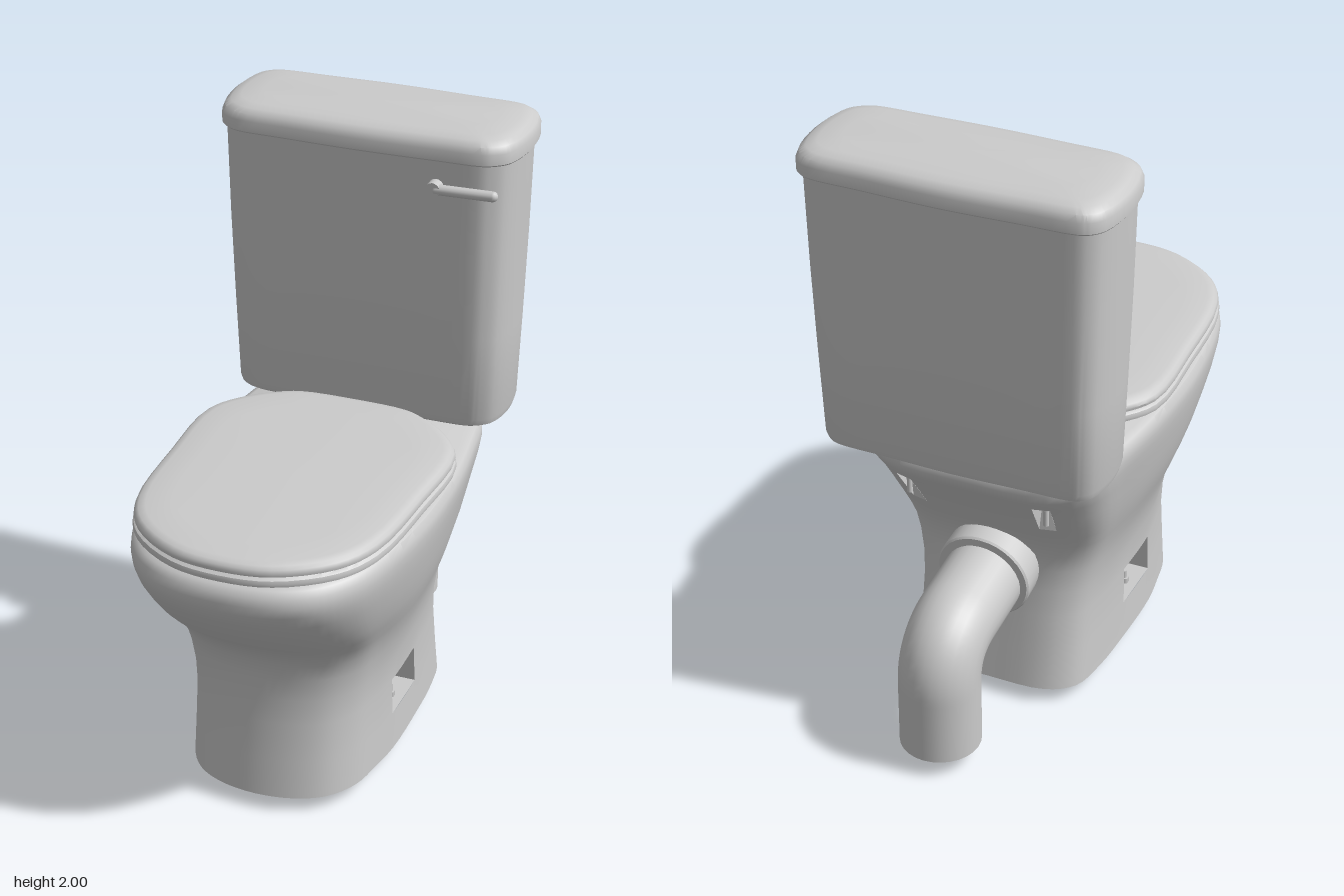
import * as THREE from 'three';
import { toCreasedNormals } from 'three/addons/utils/BufferGeometryUtils.js';

const SUB = 4; // samples between two outline points
const grey = new THREE.MeshStandardMaterial({ color: 0xcccccc });
const greyDouble = new THREE.MeshStandardMaterial({ color: 0xcccccc, side: THREE.DoubleSide });

// Half outlines from front centre to back centre: [share of half width, share of depth]
const RIM = [[0, 1], [.38, .985], [.63, .945], [.8, .88], [.9, .8], [1, .59], [1, .4], [.93, .21], [.84, .08], [.6, .015], [0, 0]];
const BASE = [[0, 1], [.4, .98], [.68, .93], [.87, .84], [.95, .72], [1, .6], [1, .38], [.97, .2], [.88, .07], [.62, .01], [0, 0]];
const SEAT = [[0, 1], [.38, .978], [.76, .88], [.93, .755], [1, .47], [1, .2], [.81, .095], [.62, .04], [.45, .01], [0, 0]];
const TANK = [[0, 1], [.5, .985], [.8, .97], [.87, .935], [.95, .84], [1, .5], [.96, .16], [.9, .07], [.83, .035], [.5, .02], [0, 0]];

// Closed horizontal ring from a mirrored half outline
function section(half, y, width, back, front) {
  const right = half.map(([u, v]) => new THREE.Vector3(u * width, y, back + (front - back) * v));
  const left = right.slice(1, -1).reverse().map(p => new THREE.Vector3(-p.x, p.y, p.z));
  const curve = new THREE.CatmullRomCurve3([...right, ...left], true, 'centripetal');
  const n = (right.length + left.length) * SUB;
  return Array.from({ length: n }, (_, k) => curve.getPoint(k / n));
}

function fromPoints(points, crease = 0.6) {
  const g = new THREE.BufferGeometry().setFromPoints(points);
  return toCreasedNormals(g, crease);
}

// Skin over stacked rings with closed ends; skip(row, column) leaves openings
function loft(rings, skip = () => false) {
  const out = [], n = rings[0].length;
  const middle = ring => ring[0].clone().add(ring[n / 2]).multiplyScalar(0.5);
  const low = rings[0], high = rings[rings.length - 1];
  const lowMid = middle(low), highMid = middle(high);
  for (let j = 0; j < n; j++) {
    const k = (j + 1) % n;
    for (let i = 0; i < rings.length - 1; i++) {
      if (skip(i, j)) continue;
      const [a, b, c, d] = [rings[i][j], rings[i][k], rings[i + 1][k], rings[i + 1][j]];
      out.push(a, b, c, a, c, d);
    }
    out.push(lowMid, low[k], low[j], highMid, high[j], high[k]);
  }
  return fromPoints(out);
}

// Wedge recess behind an opening a-b (lower edge) and d-c (upper edge)
function wedge(a, b, c, d, inward, flatBelow) {
  const quad = (p, q, r, s) => [p, q, r, p, r, s];
  const [e, f, g, h] = flatBelow ? [a, b, c, d] : [d, c, b, a];
  const ei = e.clone().add(inward), fi = f.clone().add(inward);
  return fromPoints([...quad(e, f, fi, ei), ...quad(ei, fi, g, h), e, ei, h, f, g, fi], 0.3);
}

function add(parent, name, geometry, material = grey) {
  const mesh = new THREE.Mesh(geometry, material);
  mesh.name = name;
  parent.add(mesh);
  return mesh;
}

function rod(parent, name, radius, height, x, y, z, sides = 12) {
  const mesh = add(parent, name, new THREE.CylinderGeometry(radius, radius, height, sides));
  mesh.position.set(x, y, z);
  return mesh;
}

function buildBowl(group) {
  // Rows: height, half width, back, front
  const rows = [
    [.05, .32, -.39, .61], [.18, .315, -.37, .597], [.31, .312, -.35, .582], [.4, .318, -.338, .578],
    [.48, .335, -.332, .58], [.54, .352, -.338, .592], [.6, .375, -.36, .63], [.65, .392, -.388, .685],
    [.7, .407, -.42, .737], [.765, .422, -.463, .795], [.83, .435, -.508, .845], [.88, .443, -.55, .873],
    [.915, .446, -.567, .88], [.945, .444, -.565, .873], [.965, .432, -.55, .858], [.975, .41, -.53, .835],
  ];
  const rings = rows.map(([y, w, back, front]) => {
    const t = THREE.MathUtils.smoothstep(y, .35, .9);
    const half = BASE.map(([u, v], i) => [u + (RIM[i][0] - u) * t, v + (RIM[i][1] - v) * t]);
    return section(half, y, w, back, front);
  });
  const n = rings[0].length;
  // Openings: rows and columns, listed for one side and mirrored
  const openings = [
    { name: 'floorBoltPocket', lo: 1, hi: 2, c0: 5 * SUB, c1: 6 * SUB, in: [-.09, 0], below: true },
    { name: 'tankBoltPocket', lo: 8, hi: 10, c0: 9 * SUB, c1: 9 * SUB + 1, in: [0, .09], below: false },
  ];
  const skip = (i, j) => openings.some(o => i >= o.lo && i < o.hi &&
    ((j >= o.c0 && j < o.c1) || (j >= n - o.c1 && j < n - o.c0)));
  add(group, 'bowl', loft(rings, skip));
  for (const o of openings) for (const side of [1, -1]) {
    const [j, k] = side > 0 ? [o.c0, o.c1] : [n - o.c1, n - o.c0];
    const inward = new THREE.Vector3(o.in[0] * side, 0, o.in[1]);
    add(group, o.name, wedge(rings[o.lo][j], rings[o.lo][k], rings[o.hi][k], rings[o.hi][j], inward, o.below), greyDouble);
  }
  // Bolts and nuts in the pockets
  for (const side of [1, -1]) {
    rod(group, 'floorBolt', .009, .225, side * .27, .1125, .11);
    rod(group, 'floorNut', .017, .018, side * .27, .189, .11, 6);
    const x = (rings[10][9 * SUB].x + rings[10][9 * SUB + 1].x) / 2;
    rod(group, 'tankBolt', .009, .08, side * x, .79, -.455);
    rod(group, 'tankNut', .018, .018, side * x, .82, -.455, 6);
  }
}

// Slab with softened edges: rows of height and inset
function slab(half, width, back, front, rows) {
  return loft(rows.map(([y, d]) => section(half, y, width - d, back + d, front - d)));
}

function buildTank(group) {
  const rows = [[.978, .445, -.625, -.318], [.988, .46, -.64, -.304], [1.01, .466, -.647, -.298],
    [1.3, .476, -.66, -.285], [1.6, .485, -.67, -.274], [1.925, .492, -.677, -.267]];
  add(group, 'tank', loft(rows.map(r => section(TANK, ...r))));
  add(group, 'tankLid', slab(TANK, .508, -.69, -.26,
    [[1.91, .004], [1.915, 0], [1.95, 0], [1.972, .008], [1.986, .026], [1.994, .055], [2, .12]]));

  // Flush lever on the front face
  const lever = new THREE.Group();
  lever.name = 'flushLever';
  rod(lever, 'leverPivot', .025, .04, .26, 1.825, -.258, 16).rotation.x = Math.PI / 2;
  const arm = add(lever, 'leverArm', new THREE.CapsuleGeometry(.017, .18, 4, 12));
  arm.position.set(.36, 1.825, -.256);
  arm.rotation.set(0, .05, Math.PI / 2);
  group.add(lever);
}

function buildPipe(group) {
  // Elbow running back from the bowl and down to the floor
  const V = (y, z) => new THREE.Vector3(0, y, z);
  const path = new THREE.CurvePath();
  path.add(new THREE.LineCurve3(V(.47, -.36), V(.438, -.6)));
  path.add(new THREE.CubicBezierCurve3(V(.438, -.6), V(.427, -.685), V(.38, -.745), V(.28, -.745)));
  path.add(new THREE.LineCurve3(V(.28, -.745), V(.06, -.745)));
  add(group, 'wastePipe', new THREE.TubeGeometry(path, 40, .13, 28), greyDouble);

  // Collar joining the pipe to the bowl
  const profile = [[0, -.07], [.155, -.07], [.157, .04], [.152, .047], [.125, .047]];
  const collar = add(group, 'pipeCollar', toCreasedNormals(
    new THREE.LatheGeometry(profile.map(p => new THREE.Vector2(...p)), 32), .6), greyDouble);
  collar.position.set(0, .474, -.376);
  collar.rotation.x = -Math.PI / 2 - .13;
}

export function createModel() {
  const model = new THREE.Group();
  model.name = 'toilet';
  buildBowl(model);
  add(model, 'seat', slab(SEAT, .428, -.27, .866, [[.974, .012], [.98, .002], [.99, 0], [1.0, .003], [1.008, .014]]));
  add(model, 'seatLid', slab(SEAT, .424, -.268, .862,
    [[1.006, .014], [1.012, .002], [1.022, 0], [1.034, .004], [1.043, .014], [1.048, .035], [1.052, .12]]));
  for (const side of [1, -1]) {
    rod(model, 'seatHinge', .014, .07, side * .15, .99, -.262).rotation.z = Math.PI / 2;
  }
  buildTank(model);
  buildPipe(model);
  return model;
}
